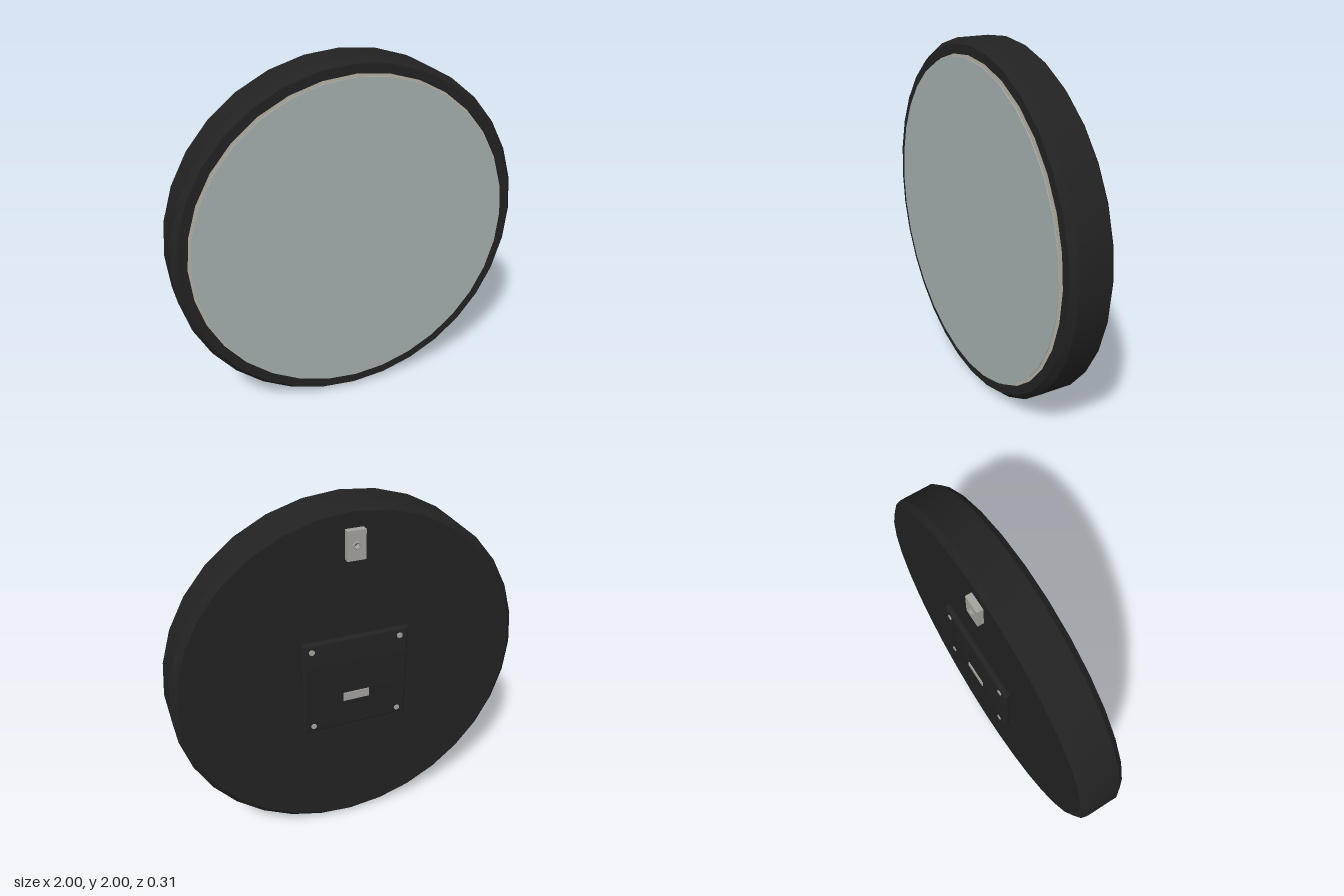
import * as THREE from 'three';
import { toCreasedNormals } from 'three/addons/utils/BufferGeometryUtils.js';

const SEG = 32;
const mat = (color) => new THREE.MeshStandardMaterial({ color });

export function createModel() {
  const clock = new THREE.Group();
  clock.name = 'wallClock';
  const black = mat(0x222222);
  const metal = mat(0xa3a29c);
  const ivory = mat(0xb8b2a6);
  const glassMat = mat(0xa6b0ae);

  // All parts are placed around the dial centre, at y = 1
  const face = new THREE.Group();
  face.name = 'clockBody';
  face.position.y = 1;
  clock.add(face);

  const add = (name, geometry, material, x = 0, y = 0, z = 0) => {
    const mesh = new THREE.Mesh(geometry, material);
    mesh.name = name;
    mesh.position.set(x, y, z);
    face.add(mesh);
    return mesh;
  };
  // Disc whose axis runs front to back
  const disc = (r, depth, seg = SEG) =>
    new THREE.CylinderGeometry(r, r, depth, seg).rotateX(Math.PI / 2);
  const rect = (w, h) => new THREE.Shape([
    new THREE.Vector2(-w / 2, -h / 2), new THREE.Vector2(w / 2, -h / 2),
    new THREE.Vector2(w / 2, h / 2), new THREE.Vector2(-w / 2, h / 2),
  ]);

  // Case with chamfered rims and a shallow front recess
  const profile = [
    [0, -0.11], [0.965, -0.11], [1, -0.08], [1, 0.105],
    [0.97, 0.14], [0.92, 0.14], [0.92, 0.122],
  ].map(([r, z]) => new THREE.Vector2(r, z));
  const caseGeometry = new THREE.LatheGeometry(profile, SEG).rotateX(Math.PI / 2);
  add('case', toCreasedNormals(caseGeometry, 0.35), black);

  // Dial and glass
  add('dial', disc(0.92, 0.03), ivory, 0, 0, 0.115);
  add('glass', disc(0.907, 0.004), glassMat, 0, 0, 0.153);

  // Hour marks
  for (let i = 0; i < 12; i++) {
    const a = (i * Math.PI) / 6;
    const length = i % 3 === 0 ? 0.14 : 0.08;
    const r = 0.86 - length / 2;
    const mark = add('hourMark', new THREE.BoxGeometry(0.025, length, 0.006), black,
      Math.sin(a) * r, Math.cos(a) * r, 0.132);
    mark.rotation.z = -a;
  }

  // Hands: angle clockwise from twelve, length, width, depth position
  [
    ['hourHand', -56, 0.48, 0.04, 0.14],
    ['minuteHand', 57, 0.49, 0.03, 0.143],
    ['secondHand', 180, 0.6, 0.012, 0.146],
  ].forEach(([name, degrees, length, width, z]) => {
    const hand = add(name,
      new THREE.BoxGeometry(width, length, 0.003).translate(0, length / 2, 0), black, 0, 0, z);
    hand.rotation.z = -THREE.MathUtils.degToRad(degrees);
  });
  add('handHub', disc(0.045, 0.018, 16), black, 0, 0, 0.141);

  // Rear cover with rounded edges
  const cover = new THREE.ExtrudeGeometry(rect(0.574, 0.534), {
    depth: 0.012, bevelThickness: 0.014, bevelSize: 0.016, bevelSegments: 3,
  });
  add('rearCover', toCreasedNormals(cover, 0.6), black, 0, 0, -0.134);

  // Corner screws
  for (const x of [-0.25, 0.25]) {
    for (const y of [-0.24, 0.24]) {
      add('coverScrew', disc(0.016, 0.012, 12), metal, x, y, -0.148);
    }
  }

  // Small plate on the cover
  add('coverTab', new THREE.BoxGeometry(0.15, 0.05, 0.012), metal, 0, -0.085, -0.148);

  // Hanging bracket with a nail hole
  const bracketShape = rect(0.1, 0.16);
  bracketShape.holes.push(new THREE.Path().absarc(0, 0, 0.017, 0, Math.PI * 2, true));
  const bracket = new THREE.ExtrudeGeometry(bracketShape, {
    depth: 0.035, bevelEnabled: false, curveSegments: 8,
  });
  add('hangingBracket', bracket, metal, 0, 0.8, -0.145);
  const ring = new THREE.TorusGeometry(0.017, 0.005, 6, 16);
  add('hangingHoleRim', ring, metal, 0, 0.8, -0.146);

  return clock;
}
